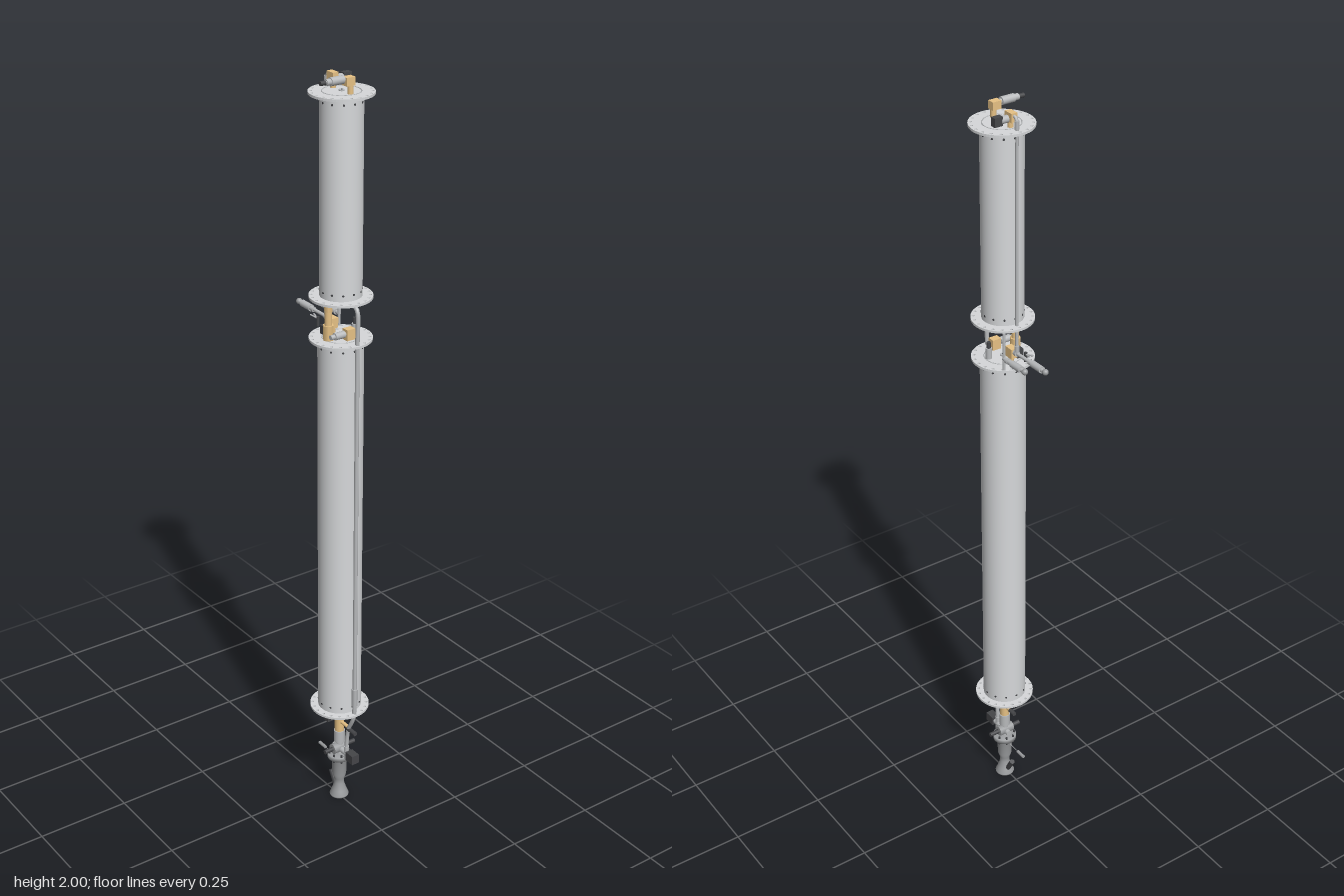
import * as THREE from 'three';

const AX = 0.052, AZ = -0.003; // main axis of the stack
const mat = (name, color, double) => {
  const m = new THREE.MeshStandardMaterial({ color });
  m.name = name;
  if (double) m.side = THREE.DoubleSide;
  return m;
};

export function createModel() {
  const root = new THREE.Group();
  root.name = 'tankStack';
  const alu = mat('aluminium', 0xd6d8da);
  const steel = mat('steel', 0xb8babc);
  const gunmetal = mat('gunmetal', 0x9a9c9e, true);
  const dark = mat('darkGrey', 0x454649);
  const brass = mat('brass', 0xecc688);

  const add = (parent, name, geo, m, x = 0, y = 0, z = 0) => {
    const mesh = new THREE.Mesh(geo, m);
    mesh.name = name;
    mesh.position.set(x, y, z);
    parent.add(mesh);
    return mesh;
  };
  const group = (name) => {
    const g = new THREE.Group();
    g.name = name;
    root.add(g);
    return g;
  };
  const box = (p, name, m, x, y, z, w, h, d) => add(p, name, new THREE.BoxGeometry(w, h, d), m, x, y, z);
  // cylinder between two points
  const rod = (p, name, m, a, b, r0, r1 = r0, sides = 16) => {
    const A = new THREE.Vector3(...a), B = new THREE.Vector3(...b), d = B.clone().sub(A);
    const mesh = add(p, name, new THREE.CylinderGeometry(r1, r0, d.length(), sides), m);
    mesh.position.copy(A).add(B).multiplyScalar(0.5);
    mesh.quaternion.setFromUnitVectors(new THREE.Vector3(0, 1, 0), d.normalize());
    return mesh;
  };
  const pipe = (p, name, m, pts, r, n) => {
    const c = new THREE.CatmullRomCurve3(pts.map(q => new THREE.Vector3(...q)), false, 'centripetal');
    return add(p, name, new THREE.TubeGeometry(c, n, r, 10), m);
  };
  // stepped turned part along a line: list of [distance, radius]
  const turned = (p, name, m, from, to, profile) => {
    const A = new THREE.Vector3(...from), d = new THREE.Vector3(...to).sub(A).normalize();
    for (let i = 0; i < profile.length - 1; i++) {
      const [s, r] = profile[i], e = profile[i + 1][0];
      rod(p, name, m, A.clone().addScaledVector(d, s).toArray(), A.clone().addScaledVector(d, e).toArray(), r);
    }
  };

  // flange plate with twenty bolt holes
  const disc = new THREE.Shape().absarc(0, 0, 0.078, 0, Math.PI * 2);
  for (let i = 0; i < 20; i++) {
    const a = i * Math.PI / 10;
    disc.holes.push(new THREE.Path().absarc(0.071 * Math.cos(a), 0.071 * Math.sin(a), 0.0036, 0, Math.PI * 2, true));
  }
  const flangeGeo = new THREE.ExtrudeGeometry(disc, { depth: 0.006, bevelEnabled: false, curveSegments: 32 });
  flangeGeo.rotateX(-Math.PI / 2);

  // tanks with flanges and screw rows
  const tank = (name, y0, y1, r) => {
    const g = group(name);
    g.position.set(AX, 0, AZ);
    add(g, 'tankShell', new THREE.CylinderGeometry(r, r, y1 - y0, 64), alu, 0, (y0 + y1) / 2, 0);
    for (const [y, s] of [[y0, 1], [y1, -1]]) {
      add(g, 'flange', flangeGeo, alu, 0, y - 0.003, 0);
      for (let i = 0; i < 12; i++) {
        const a = i * Math.PI / 6, c = Math.cos(a), q = Math.sin(a);
        rod(g, 'screw', dark, [c * (r - 0.002), y + s * 0.018, q * (r - 0.002)],
          [c * (r + 0.001), y + s * 0.018, q * (r + 0.001)], 0.0028, 0.0028, 8);
      }
      const ring = add(g, 'sealRing', new THREE.TorusGeometry(0.046, 0.0012, 6, 48), steel, 0, y - s * 0.003, 0);
      ring.rotation.x = Math.PI / 2;
      rod(g, 'centreBoss', steel, [0, y, 0], [0, y - s * 0.006, 0], 0.007);
      rod(g, 'centrePin', dark, [0, y, 0], [0, y - s * 0.0075, 0], 0.002);
    }
  };
  tank('lowerTank', 0.296, 1.349, 0.057);
  tank('upperTank', 1.457, 1.952, 0.052);

  // valves on the upper tank
  const top = group('topFittings');
  rod(top, 'ventStem', brass, [0.018, 1.955, AZ], [0.018, 1.98, AZ], 0.007);
  box(top, 'ventBlock', brass, 0.016, 1.981, AZ, 0.026, 0.022, 0.016);
  rod(top, 'solenoidNeck', steel, [0.019, 1.976, -0.01], [0.019, 1.976, -0.03], 0.009);
  box(top, 'solenoidCoil', dark, 0.019, 1.976, -0.039, 0.015, 0.022, 0.022);
  rod(top, 'reliefStem', brass, [0.086, 1.955, AZ], [0.086, 1.98, AZ], 0.007);
  box(top, 'reliefBlock', brass, 0.085, 1.985, 0.001, 0.019, 0.02, 0.024);
  turned(top, 'reliefValve', steel, [0.084, 1.99, 0.012], [0.084, 1.99, 0.08],
    [[0, 0.006], [0.005, 0.01], [0.04, 0.0078], [0.052, 0.005], [0.058, 0]]);
  rod(top, 'reliefCap', dark, [0.084, 1.99, 0.066], [0.084, 1.99, 0.08], 0.0055);

  // pressure line down the side of the upper tank
  const line = group('pressureLine');
  pipe(line, 'linePipe', steel, [[0.005, 1.985, AZ], [-0.002, 1.984, AZ], [-0.007, 1.975, AZ],
    [-0.007, 1.9, AZ], [-0.007, 1.5, AZ], [-0.007, 1.39, AZ]], 0.004, 80);
  rod(line, 'lineNut', steel, [-0.007, 1.958, AZ], [-0.007, 1.978, AZ], 0.0065, 0.0065, 6);
  rod(line, 'lineNut', steel, [-0.007, 1.38, AZ], [-0.007, 1.405, AZ], 0.0065, 0.0065, 6);

  // quick release couplings sticking out to the side, each with a round end knob
  const coupling = (x0, x1, z) => {
    const g = group('fillCoupling');
    const L = x0 - x1;
    turned(g, 'couplingBody', steel, [x0, 1.383, z], [x1, 1.387, z],
      [[0, 0.005], [0.012, 0.0075], [0.022, 0.0045], [L - 0.072, 0.0065], [L - 0.06, 0.0088],
        [L - 0.022, 0.0055], [L - 0.008, 0]]);
    add(g, 'couplingKnob', new THREE.SphereGeometry(0.008, 16, 12), gunmetal, x1 + 0.008, 1.387, z);
  };
  coupling(0.012, -0.132, AZ);
  coupling(-0.008, -0.103, -0.042);
  rod(root, 'couplingPost', steel, [-0.009, 1.352, -0.042], [-0.009, 1.455, -0.042], 0.004);

  // valves and plumbing between the tanks
  const mid = group('middleFittings');
  rod(mid, 'feedColumn', brass, [0.052, 1.35, 0.034], [0.052, 1.442, 0.034], 0.009);
  rod(mid, 'feedNut', brass, [0.052, 1.352, 0.034], [0.052, 1.39, 0.034], 0.014, 0.014, 6);
  rod(mid, 'feedNut', brass, [0.052, 1.425, 0.034], [0.052, 1.442, 0.034], 0.011, 0.011, 6);
  box(mid, 'fillBlock', brass, 0.016, 1.378, AZ, 0.026, 0.026, 0.018);
  rod(mid, 'fillStem', brass, [0.018, 1.35, AZ], [0.018, 1.37, AZ], 0.007);
  box(mid, 'valveCoil', dark, 0.022, 1.366, 0.022, 0.018, 0.022, 0.018);
  rod(mid, 'valveNeck', steel, [0.02, 1.37, AZ], [0.022, 1.37, 0.018], 0.008);
  box(mid, 'ventBlock', brass, 0.086, 1.37, AZ, 0.019, 0.028, 0.024);
  turned(mid, 'ventValve', steel, [0.086, 1.372, 0.006], [0.086, 1.372, 0.05],
    [[0, 0.006], [0.006, 0.009], [0.034, 0.006], [0.046, 0]]);
  rod(mid, 'sensorBody', steel, [0.06, 1.35, -0.039], [0.06, 1.38, -0.039], 0.008);
  rod(mid, 'sensorCap', dark, [0.06, 1.38, -0.039], [0.06, 1.396, -0.039], 0.005);
  rod(mid, 'outlet', brass, [AX, 1.46, AZ], [AX, 1.43, AZ], 0.009);

  // feed tube running down past the lower tank to the engine
  const feed = group('feedTube');
  pipe(feed, 'feedPipe', steel, [[AX, 1.44, AZ], [0.08, 1.445, AZ], [0.112, 1.445, AZ], [0.12, 1.435, AZ],
    [0.12, 1.35, AZ], [0.12, 0.9, AZ], [0.12, 0.4, AZ], [0.12, 0.34, AZ], [0.115, 0.28, AZ],
    [0.094, 0.235, AZ], [0.087, 0.2, AZ], [0.085, 0.155, AZ]], 0.0055, 160);
  rod(feed, 'feedJoint', steel, [0.12, 0.325, AZ], [0.12, 0.375, AZ], 0.009, 0.009, 6);
  rod(feed, 'feedElbow', steel, [0.085, 0.135, AZ], [0.085, 0.175, AZ], 0.008, 0.008, 6);

  // outlet column with shut off valves under the lower tank
  const valves = group('engineValves');
  turned(valves, 'outletColumn', steel, [AX, 0.3, AZ], [AX, 0.13, AZ],
    [[0, 0.011], [0.02, 0.007], [0.055, 0.012], [0.09, 0.015], [0.125, 0.01], [0.17, 0]]);
  rod(valves, 'brassJoint', brass, [AX, 0.21, AZ], [AX, 0.25, AZ], 0.0128, 0.0128, 12);
  rod(valves, 'crossArm', brass, [0.02, 0.24, AZ], [0.09, 0.24, AZ], 0.005);
  rod(valves, 'crossArmEnd', dark, [0.004, 0.24, AZ], [0.025, 0.24, AZ], 0.006);
  rod(valves, 'crossArmEnd', dark, [0.09, 0.235, AZ], [0.125, 0.235, AZ], 0.006);
  box(valves, 'frontSensor', dark, AX, 0.267, 0.026, 0.016, 0.026, 0.03);
  rod(valves, 'valveAxle', dark, [AX, 0.155, -0.052], [AX, 0.155, 0.045], 0.006);
  rod(valves, 'valveBall', gunmetal, [AX, 0.155, -0.024], [AX, 0.155, 0.02], 0.014);
  rod(valves, 'sideArm', steel, [0.03, 0.152, AZ], [0.1, 0.152, AZ], 0.008);
  box(valves, 'servo', dark, 0.111, 0.153, AZ, 0.03, 0.026, 0.022);

  // chamber and nozzle
  const engine = group('engine');
  engine.position.set(AX, 0, AZ);
  const prof = [[0.022, 0.006], [0.025, 0], [0.026, 0.004], [0.02, 0.018], [0.013, 0.04], [0.014, 0.055],
    [0.019, 0.07], [0.021, 0.122], [0.032, 0.124], [0.032, 0.137], [0, 0.137]];
  add(engine, 'thrustChamber', new THREE.LatheGeometry(prof.map(p => new THREE.Vector2(...p)), 32), gunmetal);
  add(engine, 'nozzleInside', new THREE.CylinderGeometry(0.008, 0.022, 0.04, 24, 1, true), gunmetal, 0, 0.026, 0);
  for (let i = 0; i < 8; i++) {
    const a = (i + 0.5) * Math.PI / 4, x = 0.027 * Math.cos(a), z = 0.027 * Math.sin(a);
    rod(engine, 'injectorBolt', dark, [x, 0.118, z], [x, 0.143, z], 0.003, 0.003, 6);
  }

  // side port and igniter plug
  rod(root, 'sidePort', dark, [0.036, 0.02, AZ], [0.015, 0.058, AZ], 0.007);
  rod(root, 'igniterPlug', gunmetal, [-0.04, 0.116, AZ], [-0.012, 0.116, AZ], 0.0045);
  rod(root, 'igniterWire', steel, [-0.012, 0.116, AZ], [0.035, 0.116, AZ], 0.001, 0.001, 6);

  // cable plug beside the couplings
  rod(root, 'cablePlug', dark, [-0.017, 1.36, 0.016], [-0.017, 1.385, 0.016], 0.004);
  for (const z of [0.012, 0.022])
    rod(root, 'cableEnd', steel, [-0.017, 1.38, 0.016], [-0.04, 1.384, z], 0.002, 0.002, 8);

  return root;
}
